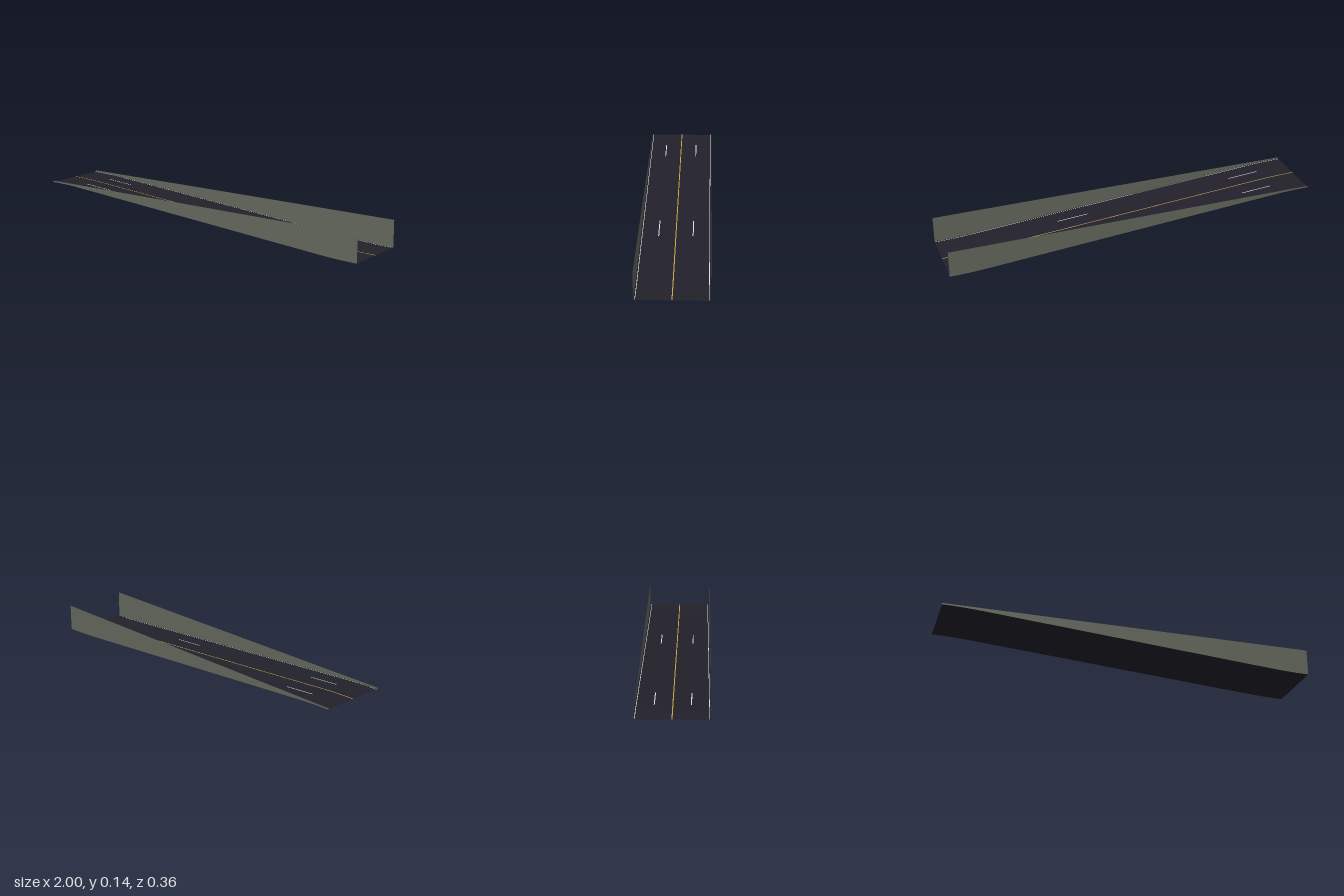
import * as THREE from 'three';

const HALF_WIDTH = 0.18;
const WALL_TOP = 0.143;
const STEPS = 40;

// Road height: a straight slope, eased into level at both ends.
function roadHeight(x) {
  const ease = 0.2, slope = 0.075;
  const a = Math.abs(x);
  const over = Math.max(0, a - (1 - ease));
  const rise = slope * (a - (over * over) / (2 * ease));
  return 0.0675 - Math.sign(x) * rise;
}

// Strip of quads between two edge lines, each a function of x.
function strip(x0, x1, edgeA, edgeB) {
  const n = Math.max(2, Math.ceil((x1 - x0) / 2 * STEPS));
  const positions = [], index = [];
  for (let i = 0; i <= n; i++) {
    const x = x0 + (x1 - x0) * i / n;
    positions.push(x, ...edgeA(x), x, ...edgeB(x));
    if (i < n) {
      const k = i * 2;
      index.push(k, k + 1, k + 2, k + 1, k + 3, k + 2);
    }
  }
  const geometry = new THREE.BufferGeometry();
  geometry.setAttribute('position', new THREE.Float32BufferAttribute(positions, 3));
  geometry.setIndex(index);
  geometry.computeVertexNormals();
  return geometry;
}

// Flat band following the road surface.
function band(x0, x1, z, width, lift) {
  const edge = (side) => (x) => [roadHeight(x) + lift, z + side * width / 2];
  return strip(x0, x1, edge(-1), edge(1));
}

function material(name, color, side = THREE.FrontSide) {
  const m = new THREE.MeshStandardMaterial({ color, side });
  m.name = name;
  return m;
}

export function createModel() {
  const group = new THREE.Group();
  group.name = 'roadRamp';

  const asphalt = material('asphalt', 0x22212b, THREE.DoubleSide);
  const concrete = material('concrete', 0x62665a, THREE.DoubleSide);
  const white = material('whitePaint', 0xdedede);
  const yellow = material('yellowPaint', 0xc9a545);

  const add = (name, geometry, mat) => {
    const mesh = new THREE.Mesh(geometry, mat);
    mesh.name = name;
    group.add(mesh);
  };

  // Road deck and centre line
  add('roadDeck', band(-1, 1, 0, HALF_WIDTH * 2, 0), asphalt);
  add('centreLine', band(-1, 1, 0, 0.005, 0.001), yellow);

  for (const side of [1, -1]) {
    const label = side > 0 ? 'front' : 'back';

    // Retaining wall with a level top, growing taller as the road descends
    const top = () => [WALL_TOP, side * HALF_WIDTH];
    const foot = (x) => [roadHeight(x), side * HALF_WIDTH];
    add(label + 'RetainingWall', side > 0 ? strip(-1, 1, top, foot) : strip(-1, 1, foot, top), concrete);

    // Edge line and lane dashes
    add(label + 'EdgeLine', band(-1, 1, side * 0.1725, 0.003, 0.001), white);
    for (const x of [-0.82, 0.18]) {
      add(label + 'LaneDash', band(x, x + 0.17, side * 0.088, 0.005, 0.001), white);
    }
  }

  return group;
}
